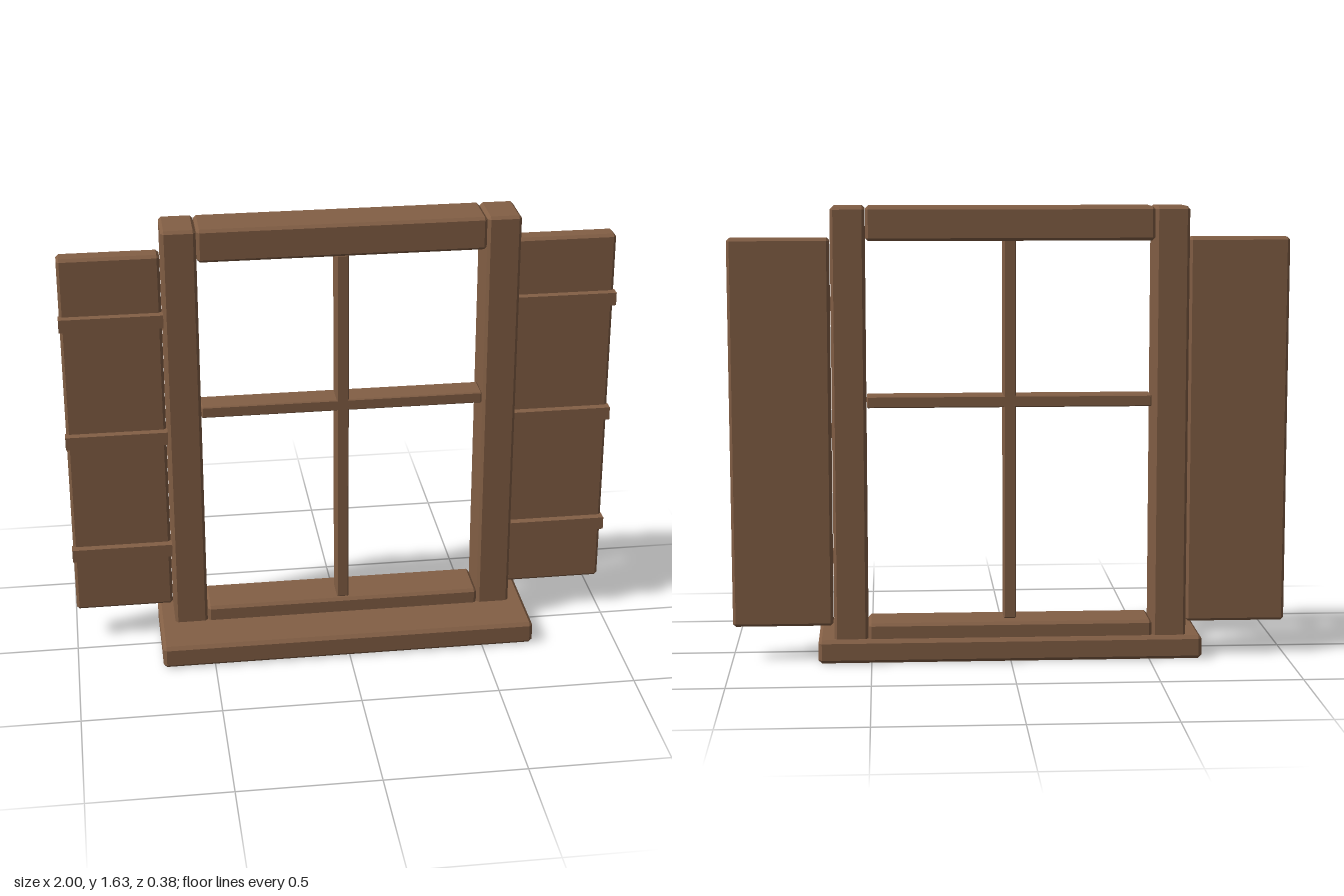
import * as THREE from 'three';
import { ConvexGeometry } from 'three/addons/geometries/ConvexGeometry.js';

const wood = new THREE.MeshStandardMaterial({ color: 0x835f45 });
wood.name = 'brown wood';

// Box between two corners with every edge cut by a flat chamfer c
function beam(name, [x0, x1], [y0, y1], [z0, z1], c = 0.01) {
  const half = [(x1 - x0) / 2, (y1 - y0) / 2, (z1 - z0) / 2];
  let geometry;
  if (c === 0) {
    geometry = new THREE.BoxGeometry(...half.map((h) => h * 2));
  } else {
    const points = [];
    for (const sx of [-1, 1]) for (const sy of [-1, 1]) for (const sz of [-1, 1]) {
      for (let axis = 0; axis < 3; axis++) {
        const h = half.map((v, i) => (i === axis ? v : v - c));
        points.push(new THREE.Vector3(sx * h[0], sy * h[1], sz * h[2]));
      }
    }
    geometry = new ConvexGeometry(points);
  }
  const mesh = new THREE.Mesh(geometry, wood);
  mesh.name = name;
  mesh.position.set((x0 + x1) / 2, (y0 + y1) / 2, (z0 + z1) / 2);
  return mesh;
}

export function createModel() {
  const model = new THREE.Group();
  model.name = 'shutteredWindow';

  // Frame: sill and the two rails between the posts
  const frameZ = [-0.17, 0.005];
  model.add(beam('sill', [-0.69, 0.69], [0, 0.085], [-0.19, 0.19], 0.012));
  model.add(beam('topRail', [-0.51, 0.51], [1.507, 1.627], frameZ));
  model.add(beam('bottomRail', [-0.51, 0.51], [0.02, 0.14], frameZ));

  // Glazing bars
  const barZ = [-0.108, -0.01];
  model.add(beam('verticalBar', [-0.022, 0.022], [0.14, 1.507], barZ, 0.004));
  model.add(beam('horizontalBar', [-0.51, 0.51], [0.911, 0.953], barZ, 0.004));

  // Mirrored posts and shutters
  for (const [side, s] of [['left', 1], ['right', -1]]) {
    const span = (a, b) => (s > 0 ? [a, b] : [-b, -a]);
    model.add(beam(side + 'Post', span(0.512, 0.633), [0.03, 1.627], frameZ));

    const shutter = new THREE.Group();
    shutter.name = side + 'Shutter';
    shutter.add(beam(side + 'Panel', span(0.637, 0.996), [0.127, 1.517], [-0.139, -0.066]));
    for (const y of [0.368, 0.826, 1.28]) {
      shutter.add(beam(side + 'Batten', span(0.633, 1), [y - 0.024, y + 0.024], [-0.077, -0.037], 0));
    }
    model.add(shutter);
  }
  return model;
}
